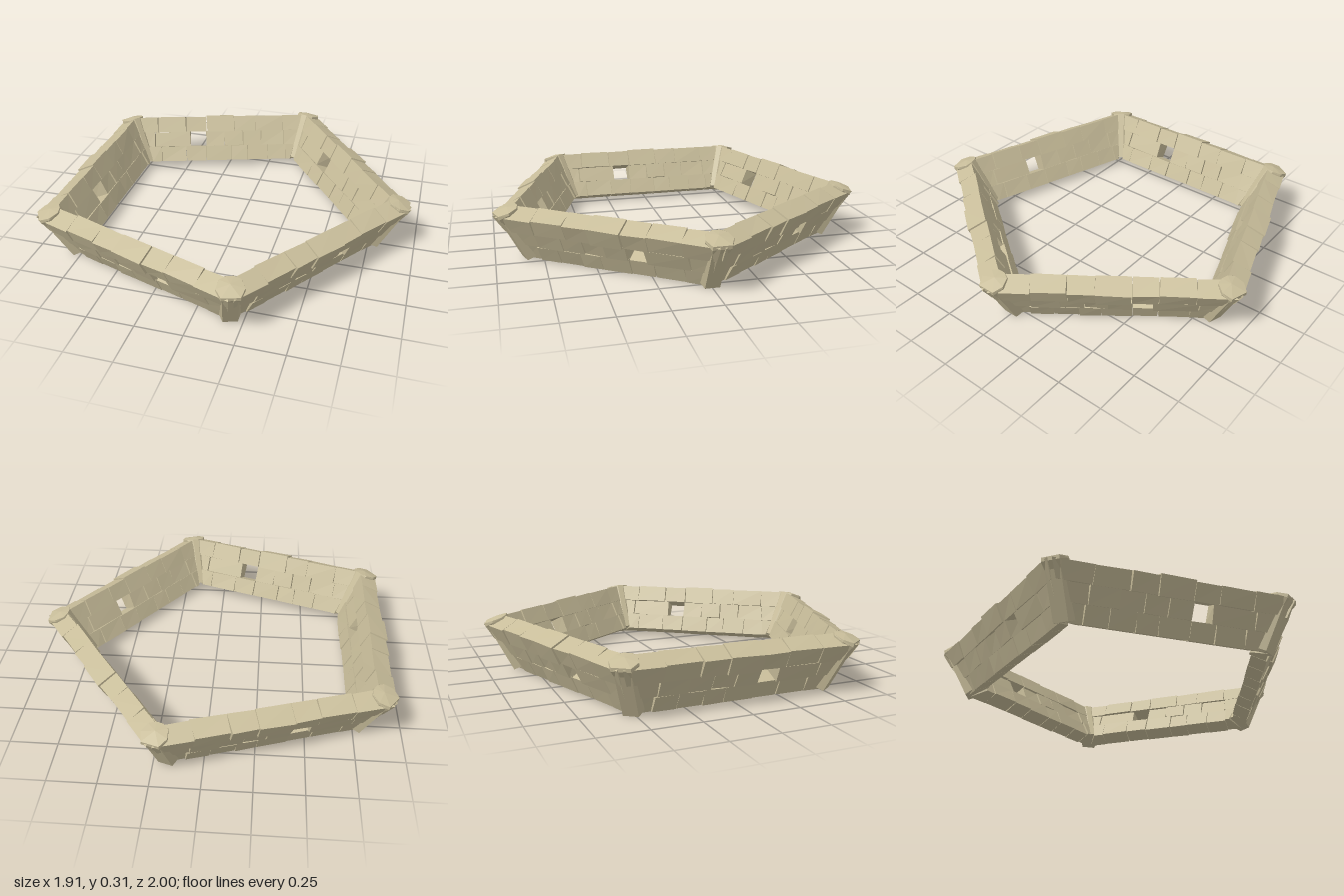
import * as THREE from 'three';

const STEP = Math.PI * 2 / 5;
const MITRE = Math.tan(STEP / 2);
const LEAN = 0.455;          // outward lean of the walls
const CORNER_LEAN = 0.50;    // outward lean of the corner posts

// Courses from the bottom up: slope range, depth range and joints along the wall
const COURSES = [
  { u: [0.0, 0.095], d: [0.004, 0.092], joints: [-0.42, -0.3, -0.17, -0.06, 0.1, 0.23, 0.39] },
  { u: [0.095, 0.188], d: [0.006, 0.094], joints: [-0.41, -0.26, -0.14, -0.02, 0.1, 0.2, 0.43], gap: 5 },
  { u: [0.188, 0.284], d: [-0.003, 0.1], joints: [-0.4, -0.22, -0.085, 0.095, 0.23, 0.41], proud: 3 },
];

function seeded(seed) {
  return () => {
    seed = (seed * 16807) % 2147483647;
    return seed / 2147483647 - 0.5;
  };
}

// A slightly uneven block, leaned outward; its ends are mitred where s is infinite
function brickGeometry(s, u, d, rand) {
  const geo = new THREE.BoxGeometry(1, 1, 1);
  const pos = geo.attributes.position;
  const shift = rand() * 0.009;
  const wobble = Array.from({ length: 8 }, () => [rand() * 0.006, rand() * 0.005, rand() * 0.005 + shift]);
  for (let i = 0; i < pos.count; i++) {
    const a = pos.getX(i) > 0 ? 1 : 0, b = pos.getY(i) > 0 ? 1 : 0, c = pos.getZ(i) > 0 ? 1 : 0;
    const w = wobble[a + 2 * b + 4 * c];
    const uu = u[b] + (b || u[0] > 0 ? w[1] : 0);
    const dd = d[c] + w[2];
    const y = 0.047 + uu * Math.cos(LEAN) - dd * Math.sin(LEAN);
    const z = 0.635 + uu * Math.sin(LEAN) + dd * Math.cos(LEAN);
    const x = Number.isFinite(s[a]) ? s[a] + w[0] + (a ? -0.0015 : 0.0015)
      : Math.sign(s[a]) * (z * MITRE - 0.016);
    pos.setXYZ(i, x, Math.max(y, 0.002), z);
  }
  const flat = geo.toNonIndexed();
  flat.computeVertexNormals();
  return flat;
}

// Leaning faceted post with a flared head and a sloped top
function postGeometry() {
  const half = [[0, 0.044], [-0.05, 0.066], [-0.1, 0.05], [-0.118, 0.018]];
  const section = [...half.map(([d, t]) => [d, t]), ...half.slice().reverse().map(([d, t]) => [d, -t])];
  const levels = [[0, 0.86, 0], [0.245, 0.9, -0.004], [0.285, 1.06, 0.006], [0.304, 1.04, 0]];
  const n = section.length;
  const point = (u, d, t) => [
    t,
    Math.max(0, u * Math.cos(CORNER_LEAN) - d * Math.sin(CORNER_LEAN)),
    0.89 + u * Math.sin(CORNER_LEAN) + d * Math.cos(CORNER_LEAN),
  ];
  const verts = [], index = [];
  levels.forEach(([u, wide, out], k) => section.forEach(([d, t]) => {
    const drop = k === levels.length - 1 ? d * 0.17 : 0;
    verts.push(...point(u + drop, d + (d > -0.08 ? out : 0), t * wide));
  }));
  for (let k = 0; k < levels.length - 1; k++) {
    for (let i = 0; i < n; i++) {
      const a = k * n + i, b = k * n + (i + 1) % n;
      index.push(a, a + n, b, b, a + n, b + n);
    }
  }
  // Bottom and peaked top
  const low = verts.length / 3, high = low + 1, top = (levels.length - 1) * n;
  verts.push(...point(0, -0.055, 0), ...point(0.302, -0.07, 0));
  for (let i = 0; i < n; i++) {
    const j = (i + 1) % n;
    index.push(low, i, j, high, top + j, top + i);
  }
  const geo = new THREE.BufferGeometry();
  geo.setAttribute('position', new THREE.Float32BufferAttribute(verts, 3));
  geo.setIndex(index);
  const flat = geo.toNonIndexed();
  flat.computeVertexNormals();
  return flat;
}

export function createModel() {
  const stone = new THREE.MeshStandardMaterial({ color: 0xc8bd9a });
  stone.name = 'sandstone';
  stone.side = THREE.DoubleSide;
  const model = new THREE.Group();
  model.name = 'pentagonStoneWall';

  // One set of bricks, shared by all five walls
  const rand = seeded(4211);
  const bricks = [];
  COURSES.forEach(({ u, d, joints, gap, proud }) => {
    const ends = [-Infinity, ...joints, Infinity];
    for (let i = 0; i < ends.length - 1; i++) {
      if (i === gap) continue; // missing brick
      const lift = i === proud ? 0.008 : 0;
      bricks.push(brickGeometry([ends[i], ends[i + 1]], [u[0], u[1] + lift], [d[0], d[1] + lift], rand));
    }
  });
  const post = postGeometry();

  for (let k = 0; k < 5; k++) {
    const wall = new THREE.Group();
    wall.name = 'wall';
    wall.rotation.y = Math.PI / 2 - (k + 0.5) * STEP;
    wall.position.x = -0.087;
    bricks.forEach((geo) => {
      const brick = new THREE.Mesh(geo, stone);
      brick.name = 'brick';
      wall.add(brick);
    });
    model.add(wall);

    const corner = new THREE.Mesh(post, stone);
    corner.name = 'cornerPost';
    corner.rotation.y = Math.PI / 2 - k * STEP;
    corner.position.x = -0.087;
    model.add(corner);
  }
  return model;
}
